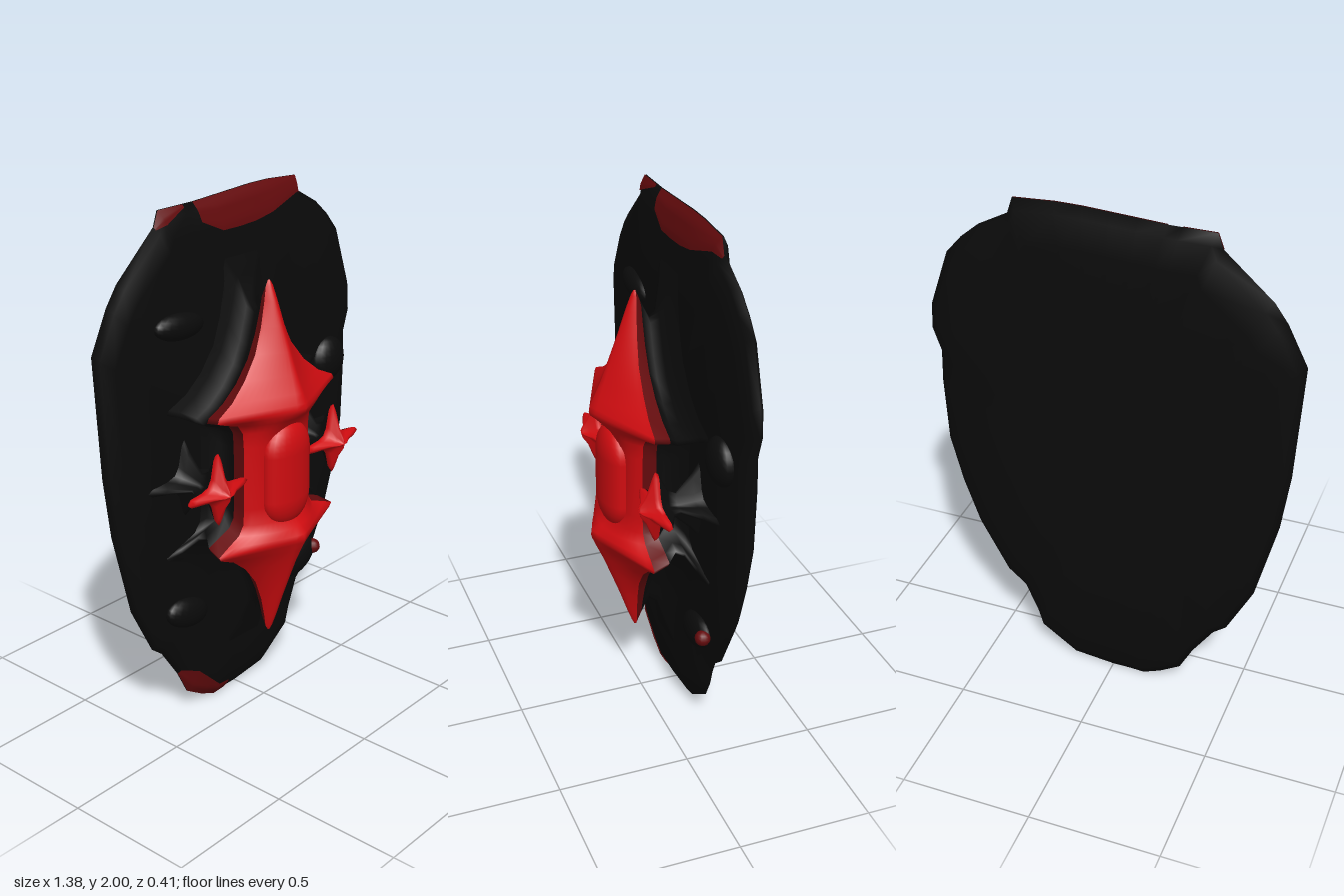
import * as THREE from 'three';

const mat = (name, color, side = THREE.FrontSide) => {
  const m = new THREE.MeshStandardMaterial({ color, side });
  m.name = name;
  return m;
};

// Skin between rows of [x, y, z] points; closed rows join their ends
function loft(rows, closed) {
  const n = rows[0].length, index = [];
  for (let i = 0; i < rows.length - 1; i++) {
    for (let j = 0; j < (closed ? n : n - 1); j++) {
      const k = (j + 1) % n;
      const a = i * n + j, b = i * n + k, c = b + n, d = a + n;
      index.push(a, b, c, a, c, d);
    }
  }
  const g = new THREE.BufferGeometry();
  g.setAttribute('position', new THREE.Float32BufferAttribute(rows.flat(2), 3));
  g.setIndex(index);
  g.computeVertexNormals();
  return g;
}

// Slab outline, anticlockwise seen from the front
const OUTLINE = [
  [-.07, .003], [0, .003], [.16, .02], [.3, .12], [.32, .19], [.37, .31], [.44, .37], [.55, .58],
  [.61, .76], [.655, .95], [.665, 1.2], [.66, 1.33], [.69, 1.42], [.685, 1.52], [.61, 1.74],
  [.55, 1.81], [.48, 1.87], [.37, 1.93], [.35, 1.99], [.2, 2], [.1, 2], [0, 1.995], [-.1, 1.99],
  [-.2, 1.985], [-.25, 1.985], [-.37, 1.985], [-.39, 1.93], [-.57, 1.77], [-.62, 1.7],
  [-.695, 1.55], [-.67, 1.1], [-.64, .87], [-.56, .54], [-.46, .34], [-.41, .3], [-.33, .18],
  [-.28, .08], [-.2, .03], [-.13, 0],
];
// Slab thickness profile: [scale of outline, z]
const BACK = [[.001, -.205], [.6, -.203], [.85, -.195], [.96, -.178]];
const FRONT = [[1, -.156], [.97, -.135], [.9, -.115], [.7, -.1], [.001, -.085]];

const scaled = ([x, y], s, z) => [x * s, 1 + (y - 1) * s, z];

function frontZ(s) {
  for (let i = 1; i < FRONT.length; i++) {
    const [s0, z0] = FRONT[i - 1], [s1, z1] = FRONT[i];
    if (s >= s1) return z0 + (z1 - z0) * (s0 - s) / (s0 - s1);
  }
  return FRONT[FRONT.length - 1][1];
}

// Painted patch that follows the slab's front from the rim inward
function rimPatch(start, depths) {
  const rows = [];
  for (let r = 0; r <= 8; r++) {
    rows.push(depths.map((d, j) => {
      const s = 1 - d * r / 8;
      const p = scaled(OUTLINE[(start + j) % OUTLINE.length], s, frontZ(s) + .005);
      p[0] *= 1.002;
      return p;
    }));
  }
  return loft(rows, false);
}

// Emblem half profile: [height above middle, half width, ridge z, edge z, roundness]
const PROFILE = [
  [0, .18, .11, .06, 4], [.12, .18, .11, .06, 4], [.18, .185, .13, .06, 3], [.215, .21, .165, .06, 2],
  [.24, .28, .195, .065, 1.2], [.258, .325, .2, .068, 1], [.275, .315, .195, .066, 1],
  [.31, .24, .18, .06, 1], [.37, .165, .153, .052, 1.1], [.45, .1, .122, .045, 1.3],
  [.54, .058, .088, .036, 1.6], [.63, .03, .057, .028, 2], [.68, .018, .038, .024, 2], [.7, .004, .028, .022, 2],
];

export function createModel() {
  const black = mat('black', 0x0b0b0b);
  const darkRed = mat('darkRed', 0x650b0d, THREE.DoubleSide);
  const red = mat('red', 0xd00c10);
  const model = new THREE.Group();
  const add = (name, geometry, material, parent = model) => {
    const m = new THREE.Mesh(geometry, material);
    m.name = name;
    parent.add(m);
    return m;
  };

  // Slab and its painted rim patches
  add('slab', loft([...BACK, ...FRONT].map(([s, z]) => OUTLINE.map(p => scaled(p, s, z))), true), black);
  add('topPatch', rimPatch(17, [.01, .055, .11, .125, .125, .12, .07]), darkRed);
  add('topCornerPatch', rimPatch(24, [.01, .05, .01]), darkRed);
  add('bottomPatch', rimPatch(35, [.02, .1, .08, .05, .04]), darkRed);

  // Low bumps on the slab: x, y, radii, tilt
  for (const [x, y, rx, ry, rz, tilt] of [
    [-.33, 1.58, .12, .05, .04, -.1], [.5, 1.25, .09, .09, .05, 0],
    [.32, .45, .11, .07, .04, .3], [-.32, .46, .11, .06, .04, -.3],
  ]) {
    const bump = add('bump', new THREE.SphereGeometry(1, 20, 12), black);
    bump.scale.set(rx, ry, rz);
    bump.position.set(x, y, -.105);
    bump.rotation.z = tilt;
  }
  const dot = add('redSpot', new THREE.SphereGeometry(.03, 12, 8), darkRed);
  dot.position.set(.41, .47, -.09);

  // Emblem front, mirrored above and below the middle
  const rows = [
    ...PROFILE.slice(1).reverse().map(([h, ...rest]) => [-h, ...rest]),
    ...PROFILE,
  ];
  const across = Array.from({ length: 21 }, (_, i) => i / 10 - 1);
  add('emblemFront', loft(rows.map(([h, w, f, e, p]) =>
    across.map(u => [w * u, 1 + h, e + (f - e) * (1 - Math.abs(u) ** p)])), false), red);

  // Emblem sides: coloured band, then a flared black foot
  const edge = [
    ...rows.map(([h, w, , e]) => [w, h, e]),
    ...rows.slice().reverse().map(([h, w, , e]) => [-w, h, e]),
  ];
  const ring = (sx, sy, z, grow = 0) =>
    edge.map(([x, h]) => [x * sx + Math.sign(x) * grow, 1 + h * sy, z]);
  const bandBack = ring(.96, .94, .005);
  add('emblemBand', loft([bandBack, edge.map(([x, h, z]) => [x, 1 + h, z])], true), darkRed);
  add('emblemFoot', loft([
    ring(1.1, 1.12, -.11, .09), ring(1, 1, -.085, .04), ring(.9, .87, -.06, .01), ring(.88, .84, -.03), bandBack,
  ], true), black);

  // Raised window in the emblem's middle
  const pane = add('window', new THREE.CapsuleGeometry(.118, .175, 8, 24), red);
  pane.scale.z = .52;
  pane.position.set(0, .985, .105);

  // Four-pointed side stars
  const q = [[.155, 0], [.14, .014], [.08, .02], [.045, .032], [.028, .06], [.012, .13], [0, .15]];
  const half = [...q, ...q.slice(0, -1).reverse().map(([x, y]) => [-x, y])];
  const star = [...half, ...half.slice(1, -1).reverse().map(([x, y]) => [x, -y * .86])];
  const starRing = (s, z) => star.map(([x, y]) => [x * s, y * s, z]);
  for (const side of [-1, 1]) {
    const group = new THREE.Group();
    group.name = side > 0 ? 'leftStar' : 'rightStar';
    group.position.set(side * .325, 1, 0);
    model.add(group);
    add('starFront', loft([starRing(.93, .055), starRing(1, .068), starRing(.85, .078),
      starRing(.4, .1), starRing(.15, .122), starRing(.001, .127)], true), red, group);
    add('starFoot', loft([starRing(1.2, -.11), starRing(.8, -.07), starRing(.35, -.01),
      starRing(.45, .02), starRing(.93, .055)], true), black, group);
  }
  return model;
}
